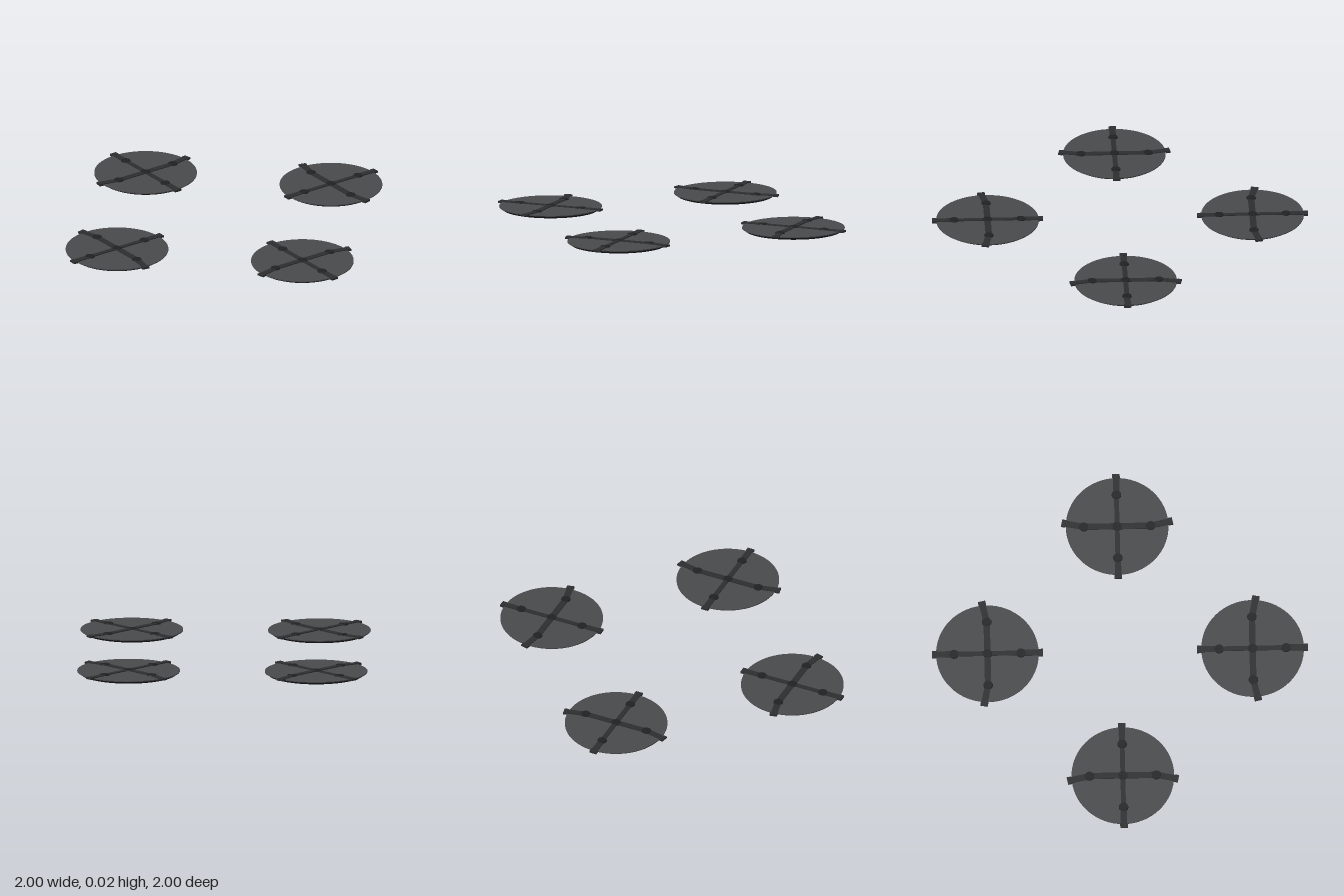
import * as THREE from 'three';

const material = (color) => new THREE.MeshStandardMaterial({ color });
const plateMat = material(0x48494a);
const baseMat = material(0x1c1d1f);
const strapMat = material(0x2c2d2f);
const boltMat = material(0x202123);

const PAD_RADIUS = 0.273;   // radius of each round pad
const RING_RADIUS = 0.705;  // distance of the pads from the middle
const BOLT_OFFSET = 0.178;
const STRAP_END = 0.295;
const BEND = 0.21;          // outward sweep of the side strap ends

function add(parent, name, geometry, mat, x = 0, y = 0, z = 0) {
  const mesh = new THREE.Mesh(geometry, mat);
  mesh.name = name;
  mesh.position.set(x, y, z);
  parent.add(mesh);
  return mesh;
}

// Strap end from a bolt to the rim, with a small clip over the edge
function strapEnd(side, bend) {
  const end = new THREE.Group();
  end.name = 'strapEnd';
  const length = (STRAP_END - BOLT_OFFSET) / Math.cos(bend);
  add(end, 'outerStrap', new THREE.BoxGeometry(length, 0.005, 0.034), strapMat, length / 2, 0.0185, 0);
  add(end, 'rimClip', new THREE.BoxGeometry(0.024, 0.01, 0.04), strapMat, length - 0.012, 0.0165, 0);
  end.position.x = side * BOLT_OFFSET;
  end.rotation.y = side > 0 ? -bend : Math.PI + bend;
  return end;
}

// One strap across the pad; its ends sweep by the given angle
function strap(name, width, bend) {
  const group = new THREE.Group();
  group.name = name;
  add(group, 'innerStrap', new THREE.BoxGeometry(BOLT_OFFSET * 2, 0.005, width), strapMat, 0, 0.0185, 0);
  for (const side of [-1, 1]) {
    group.add(strapEnd(side, bend));
    add(group, 'bolt', new THREE.CylinderGeometry(0.024, 0.026, 0.007, 20), boltMat, side * BOLT_OFFSET, 0.0195, 0);
  }
  return group;
}

// Pad whose local +z points away from the middle of the set
function createPad() {
  const pad = new THREE.Group();
  pad.name = 'pad';
  add(pad, 'base', new THREE.CylinderGeometry(0.268, 0.255, 0.012, 64), baseMat, 0, 0.006, 0);
  add(pad, 'topPlate', new THREE.CylinderGeometry(PAD_RADIUS, PAD_RADIUS, 0.005, 64), plateMat, 0, 0.0145, 0);
  pad.add(strap('sideStrap', 0.034, BEND));
  const radial = strap('radialStrap', 0.026, 0);
  radial.rotation.y = Math.PI / 2;
  pad.add(radial);
  add(pad, 'centreBolt', new THREE.CylinderGeometry(0.024, 0.026, 0.007, 20), boltMat, 0, 0.0195, 0);
  return pad;
}

export function createModel() {
  const model = new THREE.Group();
  model.name = 'padSet';
  // Four pads in a ring, each turned to face outward
  for (let i = 0; i < 4; i++) {
    const angle = (i * Math.PI) / 2;
    const pad = createPad();
    pad.position.set(Math.sin(angle) * RING_RADIUS, 0, Math.cos(angle) * RING_RADIUS);
    pad.rotation.y = angle;
    model.add(pad);
  }
  return model;
}
